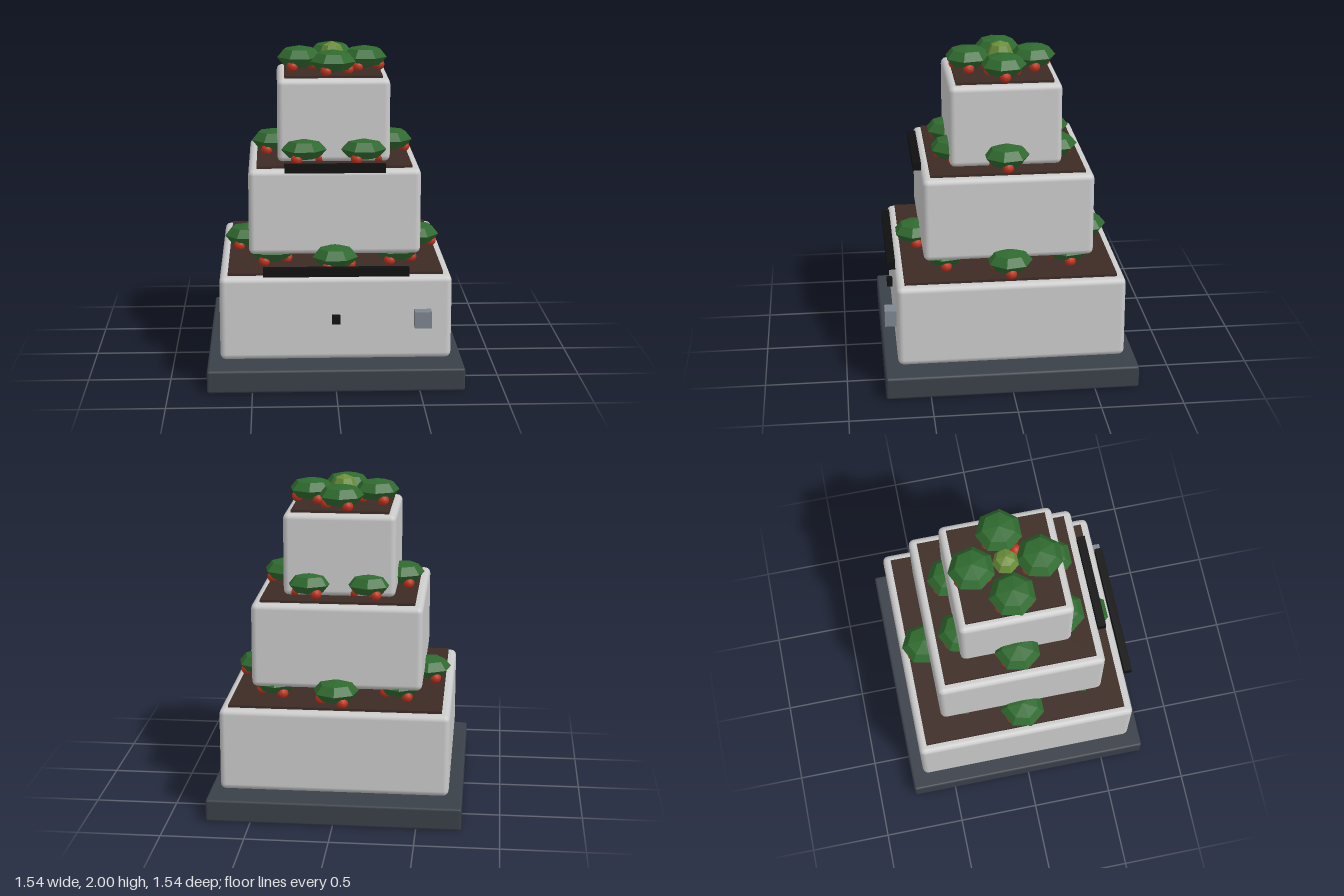
import * as THREE from 'three';
import { RoundedBoxGeometry } from 'three/addons/geometries/RoundedBoxGeometry.js';

const mat = (color, flatShading = false) => {
  const m = new THREE.MeshStandardMaterial({ flatShading });
  m.color.set(color);
  return m;
};

export function createModel() {
  const model = new THREE.Group();
  model.name = 'tieredPlanter';

  const grey = mat(0xcccccc);
  const slate = mat(0x3a4049);
  const soilMat = mat(0x3d2b24);
  const leaf = mat(0x2f6a2f, true);
  const olive = mat(0x6b8e3a, true);
  const red = mat(0xc0341f);
  const black = mat(0x101010);
  const boxGrey = mat(0x7d8590);

  const add = (parent, name, geometry, material, x, y, z) => {
    const mesh = new THREE.Mesh(geometry, material);
    mesh.name = name;
    mesh.position.set(x, y, z);
    parent.add(mesh);
    return mesh;
  };

  // Seven-sided faceted ball with one corner towards the back
  const facetBall = (r, h) =>
    new THREE.SphereGeometry(r, 7, 4).rotateY(-Math.PI / 2).scale(1, h / r, 1);
  const bushGeo = facetBall(0.14, 0.07);
  const fruitGeo = new THREE.SphereGeometry(0.035, 10, 8);

  // Bush with three fruits beneath its rim
  const addPlant = (parent, x, y, z) => {
    const plant = new THREE.Group();
    plant.name = 'plant';
    plant.position.set(x, y, z);
    add(plant, 'foliage', bushGeo, leaf, 0, 0.075, 0);
    for (let i = 0; i < 3; i++) {
      const a = (i * Math.PI * 2) / 3;
      add(plant, 'fruit', fruitGeo, red, 0.09 * Math.cos(a), 0.025, 0.09 * Math.sin(a));
    }
    parent.add(plant);
  };

  // Base slab
  add(model, 'base', new RoundedBoxGeometry(1.54, 0.14, 1.54, 2, 0.015), slate, 0, 0.07, 0);

  // Stacked planter boxes, each with soil and a ring of plants
  const tiers = [
    { half: 0.69, soil: 0.64, y0: 0.18, y1: 0.69, plants: 8, ring: 0.535 },
    { half: 0.515, soil: 0.465, y0: 0.78, y1: 1.3, plants: 6, ring: 0.36 },
    { half: 0.34, soil: 0.295, y0: 1.31, y1: 1.815, plants: 4, ring: 0.2 },
  ];
  for (const t of tiers) {
    const tier = new THREE.Group();
    tier.name = 'tier';
    const h = t.y1 - t.y0;
    add(tier, 'planterBox', new RoundedBoxGeometry(t.half * 2, h, t.half * 2, 2, 0.035),
      grey, 0, t.y0 + h / 2, 0);
    const top = t.y1 + 0.015;
    add(tier, 'soil', new THREE.BoxGeometry(t.soil * 2, 0.04, t.soil * 2), soilMat, 0, top - 0.02, 0);
    for (let i = 0; i < t.plants; i++) {
      const a = (i * Math.PI * 2) / t.plants;
      addPlant(tier, t.ring * Math.cos(a), top, t.ring * Math.sin(a));
    }
    model.add(tier);
  }

  // Crowning plant in the middle of the top tier
  add(model, 'crownPlant', facetBall(0.08, 0.08), olive, 0, 1.92, 0);
  add(model, 'crownFruit', fruitGeo, red, 0.085, 1.86, 0.075);

  // Front light bars, sensor and control box
  add(model, 'lowerLightBar', new THREE.BoxGeometry(0.86, 0.05, 0.05), black, 0, 0.73, 0.71);
  add(model, 'upperLightBar', new THREE.BoxGeometry(0.6, 0.05, 0.05), black, 0, 1.315, 0.535);
  add(model, 'sensor', new THREE.BoxGeometry(0.05, 0.05, 0.05), black, 0, 0.435, 0.7);
  add(model, 'controlBox', new THREE.BoxGeometry(0.1, 0.1, 0.1), boxGrey, 0.515, 0.44, 0.71);

  return model;
}
